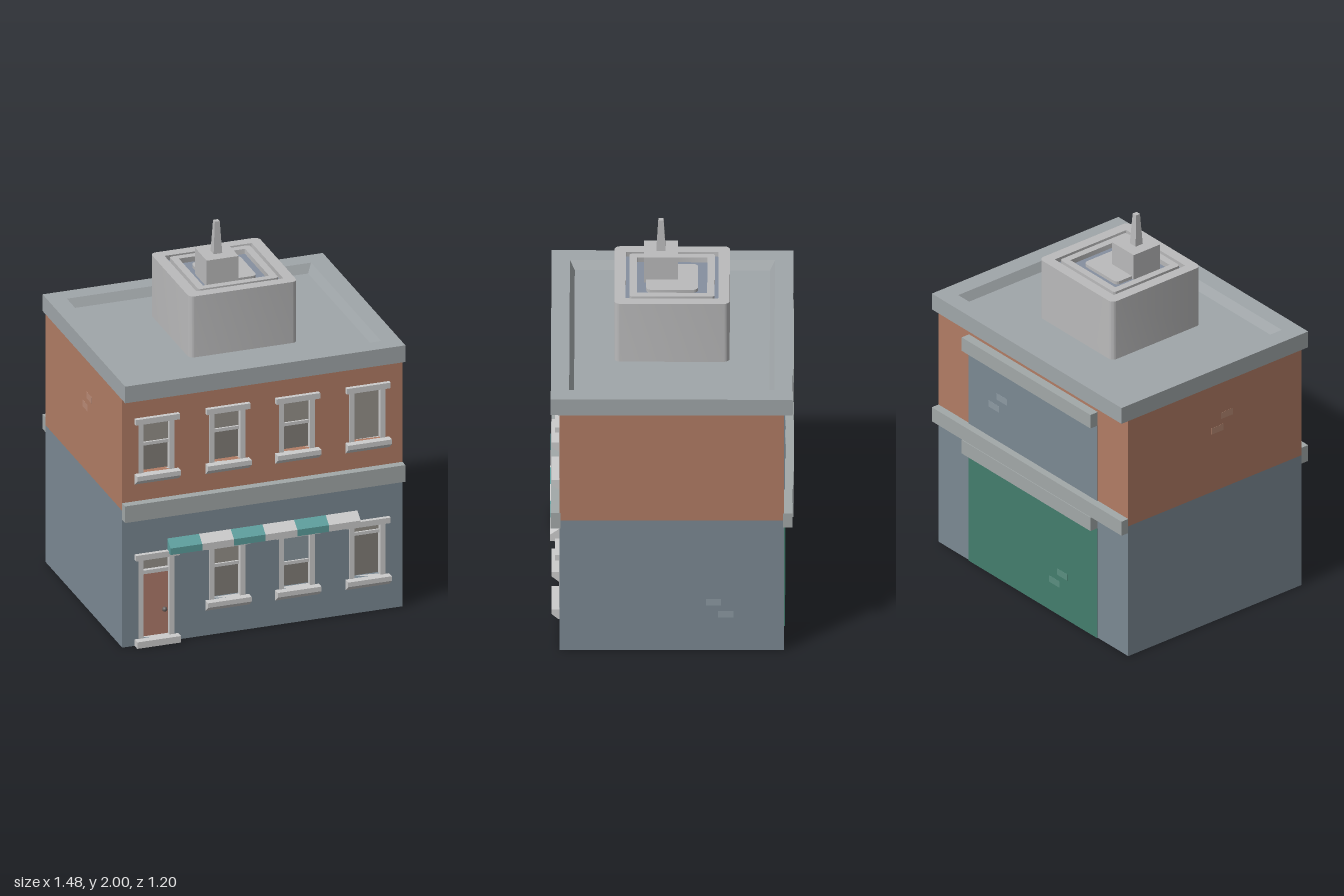
import * as THREE from 'three';
import { toCreasedNormals } from 'three/addons/utils/BufferGeometryUtils.js';

const mats = {};
const mat = (color) => (mats[color] ??= new THREE.MeshStandardMaterial({ color }));
const BLUE = 0x7b8993, BRICK = 0xb17c64, STONE = 0xa2a8a8, TRIM = 0xc2c3c2, ROOF = 0xa0a6a9,
  TANK = 0xbababb, GROOVE = 0x868f9f, GLASS = 0x96928b, PANE = 0x827e78, TEAL = 0x5c9f9e,
  GREEN = 0x437d6d, DOOR = 0xb07c6c, DARK = 0x65605e;
const W = 0.737; // half width of the building

function add(parent, name, geometry, color) {
  const mesh = new THREE.Mesh(geometry, mat(color));
  mesh.name = name;
  parent.add(mesh);
  return mesh;
}

// Box given by its limits on each axis
function box(parent, name, [x0, x1], [y0, y1], [z0, z1], color) {
  const g = new THREE.BoxGeometry(x1 - x0, y1 - y0, z1 - z0);
  g.translate((x0 + x1) / 2, (y0 + y1) / 2, (z0 + z1) / 2);
  return add(parent, name, g, color);
}

// Bar along x with a cross-section of [z, y] points (counter-clockwise)
function bar(parent, name, profile, x0, x1, color) {
  const shape = new THREE.Shape(profile.map(([z, y]) => new THREE.Vector2(z, y)));
  const g = new THREE.ExtrudeGeometry(shape, { depth: x1 - x0, bevelEnabled: false });
  g.rotateY(-Math.PI / 2).translate(x1, 0, 0);
  return add(parent, name, g, color);
}

// Rectangular rings [half x, half z, y] joined in order, the last one capped
function loft(rings) {
  const pos = [];
  const corner = ([x, z, y], i) => [[x, y, z], [x, y, -z], [-x, y, -z], [-x, y, z]][i % 4];
  const quad = (a, b, c, d) => pos.push(...a, ...b, ...c, ...a, ...c, ...d);
  for (let r = 0; r + 1 < rings.length; r++)
    for (let i = 0; i < 4; i++)
      quad(corner(rings[r], i), corner(rings[r], i + 1), corner(rings[r + 1], i + 1), corner(rings[r + 1], i));
  const top = rings[rings.length - 1];
  quad(corner(top, 0), corner(top, 1), corner(top, 2), corner(top, 3));
  const g = new THREE.BufferGeometry();
  g.setAttribute('position', new THREE.Float32BufferAttribute(pos, 3));
  g.computeVertexNormals();
  return g;
}

function roundedSquare(Type, h, r) {
  const s = new Type();
  s.absarc(h - r, h - r, r, 0, Math.PI / 2);
  s.absarc(-h + r, h - r, r, Math.PI / 2, Math.PI);
  s.absarc(-h + r, -h + r, r, Math.PI, Math.PI * 1.5);
  s.absarc(h - r, -h + r, r, Math.PI * 1.5, Math.PI * 2);
  return s;
}

// Upright rounded block, optionally hollow
function block(parent, name, half, radius, y0, y1, color, hole) {
  const s = roundedSquare(THREE.Shape, half, radius);
  if (hole) s.holes.push(roundedSquare(THREE.Path, hole, 0.003));
  const g = new THREE.ExtrudeGeometry(s, { depth: y1 - y0, bevelEnabled: false, curveSegments: 6 });
  g.rotateX(-Math.PI / 2).translate(0, y0, 0);
  return add(parent, name, toCreasedNormals(g, 0.7), color);
}

// Front wall with rectangular openings [centre x, y0, y1]
function frontWall(parent, name, y0, y1, openings, color) {
  const rect = (Type, a, b, c, d) => new Type([[a, b], [c, b], [c, d], [a, d]].map((p) => new THREE.Vector2(...p)));
  const s = rect(THREE.Shape, -W, y0, W, y1);
  for (const [x, a, b] of openings) s.holes.push(rect(THREE.Path, x - 0.07, a, x + 0.07, b));
  const g = new THREE.ExtrudeGeometry(s, { depth: 0.035, bevelEnabled: false });
  add(parent, name, g.translate(0, 0, 0.52), color);
}

// Lintel and side trims shared by windows and door
function surround(g, x, y0, y1) {
  box(g, 'lintel', [x - 0.115, x + 0.115], [y1, y1 + 0.03], [0.53, 0.577], TRIM);
  for (const s of [-1, 1]) {
    const a = x + s * 0.068, b = x + s * 0.095;
    box(g, 'jamb', [Math.min(a, b), Math.max(a, b)], [y0, y1], [0.525, 0.558], TRIM);
  }
}

// Sash window; rail is the height of the meeting rail, if there is one
function sashWindow(parent, x, y0, y1, rail, upper = GLASS) {
  const g = new THREE.Group();
  g.name = 'window';
  parent.add(g);
  surround(g, x, y0, y1);
  bar(g, 'sill', [[0.53, y0 - 0.055], [0.56, y0 - 0.055], [0.595, y0 - 0.025], [0.595, y0], [0.53, y0]],
    x - 0.115, x + 0.115, TRIM);
  const split = rail ?? y0;
  box(g, 'upperPane', [x - 0.07, x + 0.07], [split, y1], [0.515, 0.532], upper);
  if (rail) {
    box(g, 'lowerPane', [x - 0.07, x + 0.07], [y0, rail], [0.51, 0.522], PANE);
    box(g, 'meetingRail', [x - 0.07, x + 0.07], [rail, rail + 0.017], [0.51, 0.542], TRIM);
  }
}

export function createModel() {
  const model = new THREE.Group();
  model.name = 'shopBuilding';
  const columns = [-0.557, -0.185, 0.182, 0.552];

  // Thin ground-floor shell, open underneath, around an inner room
  for (const [x0, x1] of [[-W, -W + 0.012], [W - 0.012, W]])
    box(model, 'lowerSideWall', [x0, x1], [0, 0.74], [-0.555, 0.52], BLUE);
  box(model, 'lowerBackWall', [-W + 0.012, W - 0.012], [0, 0.74], [-0.555, -0.543], BLUE);
  box(model, 'innerRoom', [-0.56, 0.56], [0.06, 0.74], [-0.42, 0.4], TRIM);
  box(model, 'innerFloor', [-0.58, 0.58], [0.03, 0.06], [-0.44, 0.42], DARK);

  // Brick upper floor
  box(model, 'upperWalls', [-W, W], [0.74, 1.34], [-0.555, 0.52], BRICK);

  // Front walls, windows and door
  const lower = columns.map((x, i) => (i ? [x, 0.19, 0.47] : [x, 0.035, 0.465]));
  frontWall(model, 'lowerFrontWall', 0, 0.74, lower, BLUE);
  frontWall(model, 'upperFrontWall', 0.74, 1.34, columns.map((x) => [x, 0.93, 1.2]), BRICK);
  const upperRails = [1.07, 1.085, 1.062, null], lowerRails = [null, 0.355, 0.31, 0.413];
  columns.forEach((x, i) => {
    sashWindow(model, x, 0.93, 1.2, upperRails[i]);
    if (i) sashWindow(model, x, 0.19, 0.47, lowerRails[i], i === 2 ? 0x8b979f : GLASS);
  });

  const door = new THREE.Group();
  door.name = 'frontDoor';
  model.add(door);
  const dx = columns[0];
  surround(door, dx, 0.035, 0.465);
  box(door, 'doorLeaf', [dx - 0.07, dx + 0.07], [0.035, 0.375], [0.515, 0.535], DOOR);
  box(door, 'transomRail', [dx - 0.07, dx + 0.07], [0.375, 0.395], [0.515, 0.545], TRIM);
  box(door, 'transomPane', [dx - 0.07, dx + 0.07], [0.395, 0.465], [0.51, 0.525], GLASS);
  box(door, 'doorStep', [dx - 0.115, dx + 0.115], [0, 0.035], [0.51, 0.595], TRIM);
  const knob = add(door, 'doorKnob', new THREE.SphereGeometry(0.013, 12, 8), DARK);
  knob.position.set(-0.51, 0.17, 0.545);

  // Striped awning
  const awning = new THREE.Group();
  awning.name = 'awning';
  model.add(awning);
  for (let i = 0; i < 6; i++)
    bar(awning, 'awningStripe', [[0.555, 0.485], [0.603, 0.485], [0.603, 0.52], [0.555, 0.555]],
      -0.5 + i / 6, -0.5 + (i + 1) / 6, i % 2 ? TRIM : TEAL);

  // Bands between the floors
  box(model, 'frontBand', [-W, W], [0.692, 0.782], [0.55, 0.598], STONE);
  box(model, 'backBand', [-W, W], [0.702, 0.782], [-0.598, -0.55], STONE);

  // Back panels with lintels
  for (const [y0, y1, color] of [[0, 0.625, GREEN], [0.782, 1.21, BLUE]]) {
    box(model, 'backPanel', [-0.5, 0.5], [y0, y1], [-0.56, -0.55], color);
    box(model, 'backLintel', [-0.5, 0.5], [y1, y1 + 0.077], [-0.602, -0.55], STONE);
  }

  // Pairs of pale bricks, almost flush with the plain walls
  for (const [u, v] of [[0, 0.255], [-0.06, 0.188]]) {
    box(model, 'paleBrick', [W - 0.01, W + 0.0008], [v, v + 0.036], [-0.245 + u, -0.17 + u], 0x8c99a2);
    box(model, 'paleBrick', [-W - 0.0008, -W + 0.01], [v + 0.88, v + 0.916], [0.04 + u, 0.115 + u], 0xb98a75);
    box(model, 'paleBrick', [-0.27 - u, -0.19 - u], [v - 0.03, v + 0.006], [-0.5608, -0.555], 0x5a8e80);
    box(model, 'paleBrick', [0.2 - u, 0.28 - u], [v + 0.76, v + 0.796], [-0.5608, -0.555], 0x8c99a2);
  }

  // Cornice with the sunken roof inside it
  add(model, 'corniceAndRoof', loft([
    [0.5, 0.4, 1.34], [W, 0.598, 1.34], [W, 0.598, 1.43], [0.642, 0.507, 1.43], [0.618, 0.483, 1.385],
  ]), ROOF);

  // Roof tank with nested rims
  const tank = new THREE.Group();
  tank.name = 'roofTank';
  model.add(tank);
  block(tank, 'tankFloor', 0.24, 0.01, 1.38, 1.688, GROOVE);
  block(tank, 'tankWall', 0.285, 0.03, 1.38, 1.715, TANK, 0.229);
  block(tank, 'innerRim', 0.211, 0.015, 1.68, 1.715, TANK, 0.174);
  block(tank, 'centreBlock', 0.128, 0.025, 1.68, 1.705, TANK);
  box(tank, 'mastBase', [-0.142, 0.026], [1.68, 1.83], [-0.029, 0.14], TANK);
  const mast = add(tank, 'mast', loft([[0.023, 0.023, 1.825], [0.013, 0.013, 2]]), TANK);
  mast.position.set(-0.06, 0, 0.055);

  return model;
}
